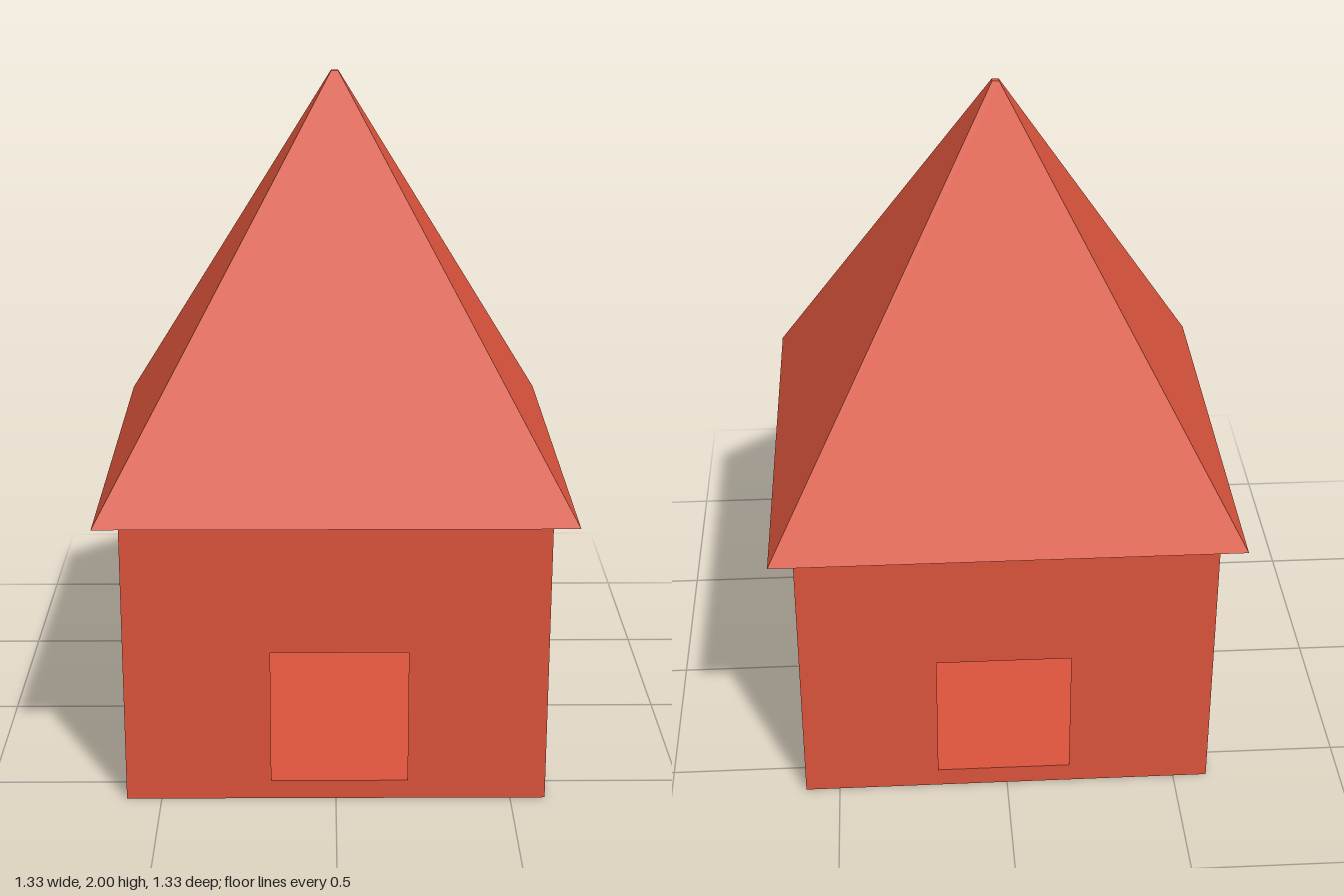
import * as THREE from 'three';

const material = new THREE.MeshStandardMaterial({
  color: 0xd9533b, flatShading: true, side: THREE.DoubleSide,
});

const WALL = 0.6;      // half width of the house
const EAVE = 0.667;    // half width of the roof at its base
const ROOF_Y = 0.85;   // top of the walls
const TOP_Y = 2;
const FLOOR = 0.055;

function addMesh(parent, name, geometry) {
  const mesh = new THREE.Mesh(geometry, material);
  mesh.name = name;
  parent.add(mesh);
  return mesh;
}

// Closed rectangle from two opposite corners
function rectangle(Type, x0, y0, x1, y1) {
  return new Type([[x0, y0], [x1, y0], [x1, y1], [x0, y1]]
    .map(([x, y]) => new THREE.Vector2(x, y)));
}

// Thin wall panel with a square window, facing +z
function wallGeometry(windowLeft, windowRight) {
  const panel = rectangle(THREE.Shape, -WALL, 0, WALL, ROOF_Y);
  panel.holes.push(rectangle(THREE.Path, windowLeft, FLOOR, windowRight, 0.455));
  return new THREE.ShapeGeometry(panel).translate(0, 0, WALL);
}

export function createModel() {
  const house = new THREE.Group();
  house.name = 'house';

  // Four walls around a hollow room
  const walls = new THREE.Group();
  walls.name = 'walls';
  house.add(walls);
  const windows = [[-0.185, 0.205], [-0.2, 0.197], [-0.205, 0.185], [-0.197, 0.2]];
  ['frontWall', 'leftWall', 'backWall', 'rightWall'].forEach((name, i) => {
    addMesh(walls, name, wallGeometry(...windows[i])).rotation.y = i * Math.PI / 2;
  });

  // Floor slab, level with the window sills
  const slab = new THREE.BoxGeometry(2 * WALL - 0.004, FLOOR, 2 * WALL - 0.004);
  addMesh(house, 'floor', slab.translate(0, FLOOR / 2, 0));

  // Hollow pyramid roof with a tiny flat tip
  const tip = 0.01;
  const height = TOP_Y - ROOF_Y;
  const roof = new THREE.CylinderGeometry(tip * Math.SQRT2, EAVE * Math.SQRT2, height, 4, 1, true);
  addMesh(house, 'roof', roof.rotateY(Math.PI / 4).translate(0, ROOF_Y + height / 2, 0));
  const cap = new THREE.PlaneGeometry(2 * tip, 2 * tip).rotateX(-Math.PI / 2);
  addMesh(house, 'roofTip', cap.translate(0, TOP_Y, 0));

  // Underside of the eaves, open above the room
  const ring = rectangle(THREE.Shape, -EAVE, -EAVE, EAVE, EAVE);
  ring.holes.push(rectangle(THREE.Path, -WALL, -WALL, WALL, WALL));
  const eaves = new THREE.ShapeGeometry(ring).rotateX(Math.PI / 2);
  addMesh(house, 'eaves', eaves.translate(0, ROOF_Y, 0));

  return house;
}
